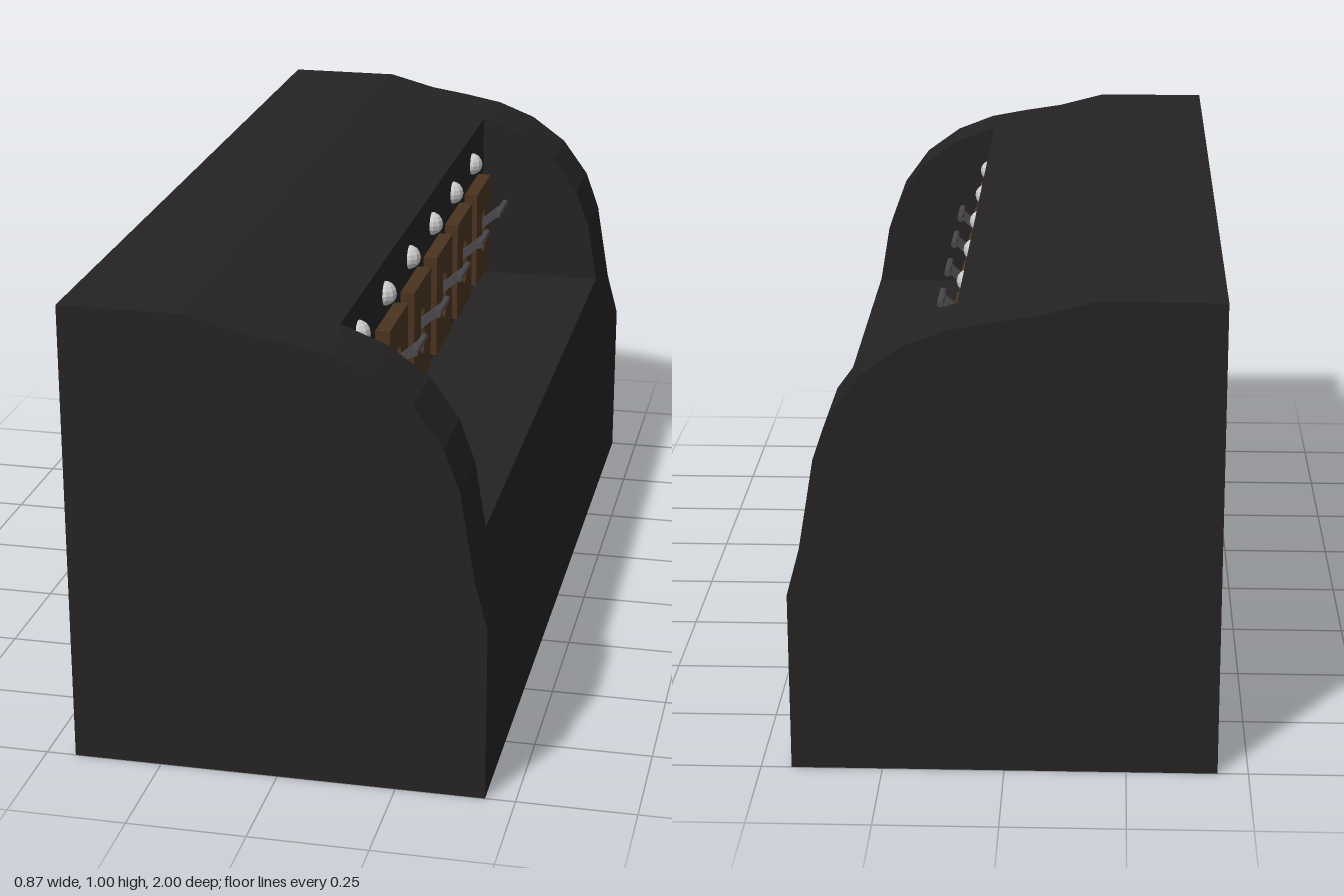
import * as THREE from 'three';

const mat = (color) => new THREE.MeshStandardMaterial({ color, flatShading: true });
const black = mat(0x242223);
const wood = mat(0x4a3320);
const metal = mat(0x4a474a);
const lampGrey = mat(0xcccccc);

// Cabinet outline: base and straight back, then the curved front from bottom to top
const lower = [[-0.437, 1], [-0.437, 0], [0.437, 0], [0.437, 0.38], [0.41, 0.48]];
const curve = [[0.393, 0.58], [0.378, 0.67], [0.345, 0.76], [0.283, 0.845], [0.2, 0.905]];
const upper = [[0.11, 0.94], [0.02, 0.957], [-0.07, 0.971], [-0.18, 1]];
const notch = [[0.402, 0.53], [0.1, 0.53], [0.1, 0.942]];

function mesh(name, geometry, material) {
  const m = new THREE.Mesh(geometry, material);
  m.name = name;
  return m;
}

// Cabinet slice with the given outline between two z values
function slice(name, points, z0, z1) {
  const shape = new THREE.Shape(points.map(([x, y]) => new THREE.Vector2(x, y)));
  const geo = new THREE.ExtrudeGeometry(shape, { depth: z1 - z0, bevelEnabled: false });
  return mesh(name, geo.translate(0, 0, z0), black);
}

// Switch plate with a rounded slot, facing +x
function plateGeometry() {
  const shape = new THREE.Shape();
  shape.moveTo(-0.097, -0.119).lineTo(0.097, -0.119).lineTo(0.097, 0.119).lineTo(-0.097, 0.119).closePath();
  const slot = new THREE.Path();
  slot.absarc(0, 0.038, 0.022, 0, Math.PI, false);
  slot.absarc(0, -0.034, 0.022, Math.PI, Math.PI * 2, false);
  slot.closePath();
  shape.holes.push(slot);
  const geo = new THREE.ExtrudeGeometry(shape, { depth: 0.02, bevelEnabled: false, curveSegments: 6 });
  return geo.rotateY(Math.PI / 2);
}

// One switch: plate, T-shaped lever and signal lamp
function makeSwitch() {
  const g = new THREE.Group();
  g.name = 'switchUnit';
  const plate = mesh('switchPlate', plateGeometry(), wood);
  plate.position.set(0.112, 0.696, 0);
  const backing = mesh('slotBacking', new THREE.BoxGeometry(0.012, 0.238, 0.194), wood);
  backing.position.set(0.106, 0.696, 0);

  // Stem rises obliquely out of the slot to the crossbar
  const from = new THREE.Vector3(0.112, 0.698, 0);
  const to = new THREE.Vector3(0.177, 0.755, 0);
  const dir = to.clone().sub(from);
  const stem = mesh('leverStem', new THREE.BoxGeometry(0.018, dir.length(), 0.02), metal);
  stem.position.copy(from).add(to).multiplyScalar(0.5);
  stem.rotation.z = Math.atan2(dir.y, dir.x) - Math.PI / 2;
  const bar = mesh('leverCrossbar', new THREE.CylinderGeometry(0.008, 0.008, 0.114, 8), metal);
  bar.rotation.x = Math.PI / 2;
  bar.position.copy(to);

  const lamp = mesh('signalLamp', new THREE.SphereGeometry(0.027, 10, 8), lampGrey);
  lamp.position.set(0.1, 0.868, 0);
  g.add(plate, backing, stem, bar, lamp);
  return g;
}

export function createModel() {
  const model = new THREE.Group();
  model.name = 'switchCabinet';

  // Solid ends and a recessed middle
  const full = [...lower, ...curve, ...upper];
  const recessed = [...lower, ...notch, ...upper.slice(1)];
  model.add(
    slice('cabinetBackEnd', full, -1, -0.815),
    slice('cabinetMiddle', recessed, -0.815, 0.833),
    slice('cabinetFrontEnd', full, 0.833, 1)
  );

  // Row of six switches on the recess wall
  for (let i = 0; i < 6; i++) {
    const unit = makeSwitch();
    unit.position.z = 0.668 - i * 0.2627;
    model.add(unit);
  }
  return model;
}
